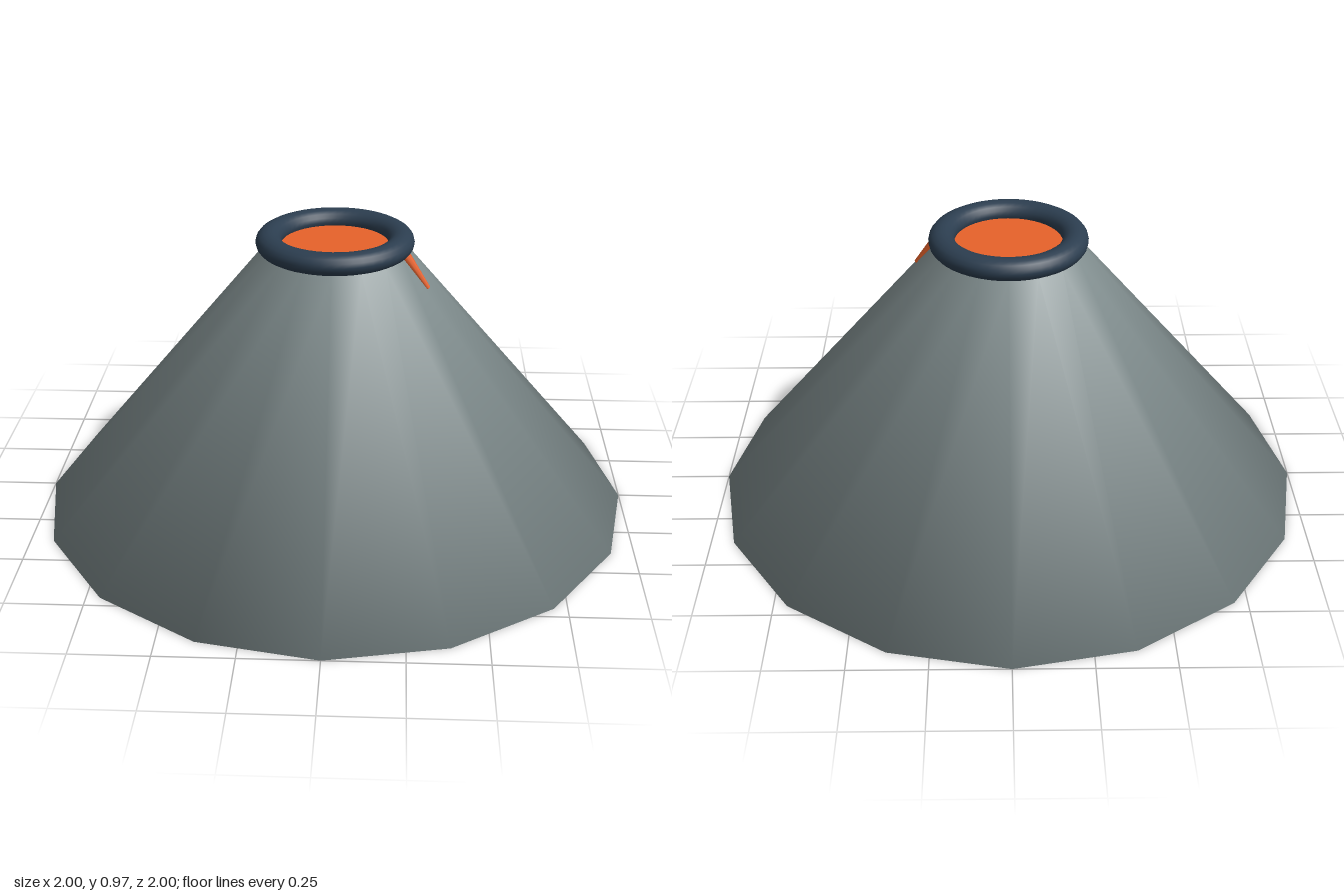
import * as THREE from 'three';
import { mergeVertices } from 'three/addons/utils/BufferGeometryUtils.js';

const SIDES = 16;
const BASE_R = 1, TOP_R = 0.24, TOP_Y = 0.91;

export function createModel() {
  const group = new THREE.Group();
  const stone = new THREE.MeshStandardMaterial({ color: 0x7f8c8d });
  const dark = new THREE.MeshStandardMaterial({ color: 0x2c3e50 });
  const glow = new THREE.MeshStandardMaterial({ color: 0xe8622a });

  const add = (name, geometry, material) => {
    const mesh = new THREE.Mesh(geometry, material);
    mesh.name = name;
    group.add(mesh);
    return mesh;
  };

  // Mountain: closed truncated cone, normals shared across the rim
  let cone = new THREE.CylinderGeometry(TOP_R, BASE_R, TOP_Y, SIDES);
  cone.deleteAttribute('uv');
  cone.deleteAttribute('normal');
  cone = mergeVertices(cone);
  cone.computeVertexNormals();
  add('mountainCone', cone, stone).position.y = TOP_Y / 2;

  // Crater rim: slightly flattened ring
  const rim = new THREE.TorusGeometry(0.218, 0.043, 16, 48);
  rim.rotateX(Math.PI / 2);
  rim.scale(1, 0.86, 1);
  add('craterRim', rim, dark).position.y = 0.938;

  // Molten pool filling the crater
  add('lavaPool', new THREE.CylinderGeometry(0.2, 0.2, 0.04, 32), glow).position.y = 0.907;

  // Tapered lava streak running down the slope
  const start = new THREE.Vector3(0.225, 0.92, 0.065);
  const end = new THREE.Vector3(0.307, 0.81, 0.09);
  const along = end.clone().sub(start);
  const streak = add('lavaStreak', new THREE.CylinderGeometry(0.008, 0.019, along.length(), 8), glow);
  streak.position.copy(start).add(end).multiplyScalar(0.5);
  streak.quaternion.setFromUnitVectors(new THREE.Vector3(0, 1, 0), along.normalize());

  return group;
}
